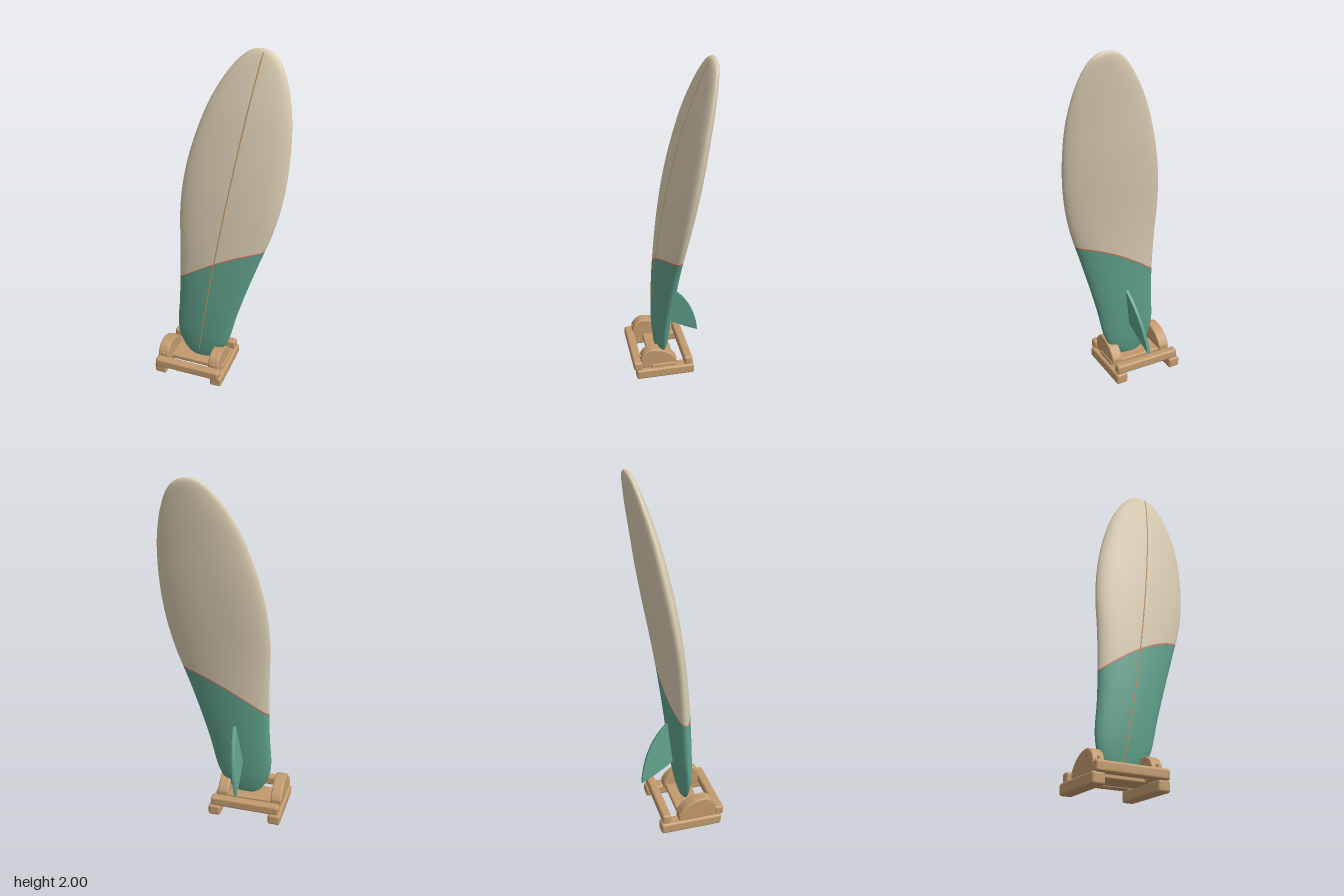
import * as THREE from 'three';
import { RoundedBoxGeometry } from 'three/addons/geometries/RoundedBoxGeometry.js';

const mat = (name, color) => Object.assign(new THREE.MeshStandardMaterial({ color }), { name });

// Board leans sideways: x of its centre line at height y
const LEAN = 0.1567;
const axisX = y => -0.122 + LEAN * (y - 0.122);
const ROLL = Math.atan(LEAN);

// Board stations from tail to nose: height, half width, middle z, half thickness
const STATIONS = [
  [0.07, 0, 0.033, 0], [0.08, 0.042, 0.033, 0.012], [0.107, 0.087, 0.032, 0.022],
  [0.18, 0.14, 0.03, 0.036], [0.28, 0.17, 0.028, 0.047], [0.45, 0.185, 0.022, 0.057],
  [0.65, 0.212, 0.011, 0.063], [0.85, 0.245, -0.005, 0.066], [1.05, 0.28, -0.028, 0.068],
  [1.25, 0.292, -0.057, 0.07], [1.45, 0.278, -0.09, 0.067], [1.65, 0.241, -0.125, 0.057],
  [1.8, 0.19, -0.157, 0.045], [1.9, 0.138, -0.18, 0.034], [1.96, 0.09, -0.195, 0.025],
  [1.987, 0.045, -0.202, 0.015], [1.996, 0, -0.205, 0],
];
const outline = new THREE.SplineCurve(STATIONS.map(s => new THREE.Vector2(s[0], s[1])));
const rocker = new THREE.SplineCurve(STATIONS.map(s => new THREE.Vector2(s[2], s[3])));

// Point on the board skin: v runs tail to nose, angle runs around the section
function skin(v, angle, lift = 0) {
  const { x: y, y: w } = outline.getPoint(v);
  const { x: z, y: h } = rocker.getPoint(v);
  const s = w * Math.cos(angle);
  return new THREE.Vector3(
    axisX(y) + s * Math.cos(ROLL), y - s * Math.sin(ROLL), z + (h + lift) * Math.sin(angle));
}

// Finds v on one column where the slanted paint edge crosses it
function paintEdge(angle, offset) {
  let lo = 0, hi = 1;
  for (let i = 0; i < 30; i++) {
    const v = (lo + hi) / 2, p = outline.getPoint(v);
    const s = p.y * Math.cos(angle);
    if (p.x < 0.795 + 0.76 * s - 0.8 * s * s + offset) lo = v; else hi = v;
  }
  return lo;
}

// One closed skin with a material group for tail, trim line and nose
function boardGeometry() {
  const cols = 96, bands = [40, 1, 56];
  const rows = bands.reduce((a, b) => a + b, 0);
  const pos = [], index = [];
  const edges = [];
  for (let i = 0; i < cols; i++) {
    const a = i / cols * Math.PI * 2;
    edges.push([0, paintEdge(a, -0.004), paintEdge(a, 0.004), 1]);
  }
  bands.forEach((n, b) => {
    for (let j = b ? 1 : 0; j <= n; j++) {
      for (let i = 0; i < cols; i++) {
        const v = THREE.MathUtils.lerp(edges[i][b], edges[i][b + 1], j / n);
        pos.push(...skin(v, i / cols * Math.PI * 2).toArray());
      }
    }
  });
  for (let j = 0; j < rows; j++) {
    for (let i = 0; i < cols; i++) {
      const k = (i + 1) % cols;
      const a = j * cols + i, b = j * cols + k, c = a + cols, d = b + cols;
      index.push(a, c, b, b, c, d);
    }
  }
  const geo = new THREE.BufferGeometry();
  geo.setAttribute('position', new THREE.Float32BufferAttribute(pos, 3));
  geo.setIndex(index);
  let start = 0;
  bands.forEach((n, b) => {
    geo.addGroup(start, n * cols * 6, b);
    start += n * cols * 6;
  });
  geo.computeVertexNormals();
  return geo;
}

// Extrudes a side profile (x of the shape points to -z) centred across x
function sideExtrude(shape, width, bevel) {
  const depth = width - 2 * bevel;
  const geo = new THREE.ExtrudeGeometry(shape, {
    depth, bevelSize: bevel, bevelThickness: bevel, bevelOffset: -bevel, bevelSegments: 3, curveSegments: 20,
  });
  return geo.translate(0, 0, -depth / 2).rotateY(Math.PI / 2);
}

export function createModel() {
  const cream = mat('cream', 0xd8cab0);
  const teal = mat('teal', 0x5fa08a);
  const coral = mat('coral', 0xe0705c);
  const wood = mat('wood', 0xc29a6e);
  const stringerWood = mat('stringer wood', 0xc09462);

  const model = new THREE.Group();
  model.name = 'surfboardOnStand';
  const add = (parent, name, geo, material) => {
    const mesh = new THREE.Mesh(geo, material);
    mesh.name = name;
    parent.add(mesh);
    return mesh;
  };

  // Board
  const board = new THREE.Group();
  board.name = 'board';
  model.add(board);
  add(board, 'boardSkin', boardGeometry(), [teal, coral, cream]);

  // Stringer inlaid down the front face
  const line = [];
  for (let i = 0; i <= 40; i++) line.push(skin(0.15 + 0.77 * i / 40, Math.PI / 2, -0.0025));
  add(board, 'stringer', new THREE.TubeGeometry(new THREE.CatmullRomCurve3(line), 120, 0.0045, 8), stringerWood);

  // Fin, swept back and down, sheared to follow the leaning centre line
  const fin = new THREE.Shape();
  fin.moveTo(0.0, 0.325);
  fin.lineTo(0.02, 0.58);
  fin.lineTo(0.05, 0.55);
  fin.bezierCurveTo(0.13, 0.48, 0.2, 0.37, 0.218, 0.2);
  fin.quadraticCurveTo(0.12, 0.245, 0.02, 0.31);
  const finGeo = sideExtrude(fin, 0.022, 0.005);
  const p = finGeo.attributes.position;
  for (let i = 0; i < p.count; i++) p.setX(i, p.getX(i) + axisX(p.getY(i)));
  finGeo.computeVertexNormals();
  add(board, 'fin', finGeo, teal);

  // Stand
  const stand = new THREE.Group();
  stand.name = 'stand';
  model.add(stand);
  const bar = (name, x0, x1, y0, y1, z0, z1, r) => {
    const geo = new RoundedBoxGeometry(x1 - x0, y1 - y0, z1 - z0, 4, r);
    add(stand, name, geo, wood).position.set((x0 + x1) / 2, (y0 + y1) / 2, (z0 + z1) / 2);
  };
  bar('frontRail', -0.352, 0.064, 0.058, 0.116, 0.165, 0.218, 0.014);
  bar('rearRail', -0.352, 0.064, 0.058, 0.116, -0.152, -0.1, 0.014);
  bar('centrePlank', -0.345, 0.055, 0.055, 0.085, -0.045, 0.107, 0.008);

  // Rounded cheek profile
  const cheek = new THREE.Shape();
  cheek.moveTo(-0.172, 0.06);
  cheek.lineTo(-0.172, 0.125);
  cheek.bezierCurveTo(-0.165, 0.165, -0.13, 0.192, -0.095, 0.192);
  cheek.bezierCurveTo(-0.03, 0.19, 0.03, 0.15, 0.054, 0.1);
  cheek.lineTo(0.054, 0.06);

  // Runner, cheek and peg on each side
  [['right', -0.364, -0.29, -0.316], ['left', 0.002, 0.075, 0.014]].forEach(([side, x0, x1, cx]) => {
    bar(side + 'Runner', x0, x1, 0, 0.064, -0.162, 0.202, 0.014);
    add(stand, side + 'Cheek', sideExtrude(cheek, 0.068, 0.01), wood).position.x = cx;
    const peg = add(stand, side + 'Peg', new THREE.CylinderGeometry(0.008, 0.008, 0.02, 16), wood);
    peg.rotation.x = Math.PI / 2;
    peg.position.set(cx, 0.135, 0.17);
  });

  return model;
}
